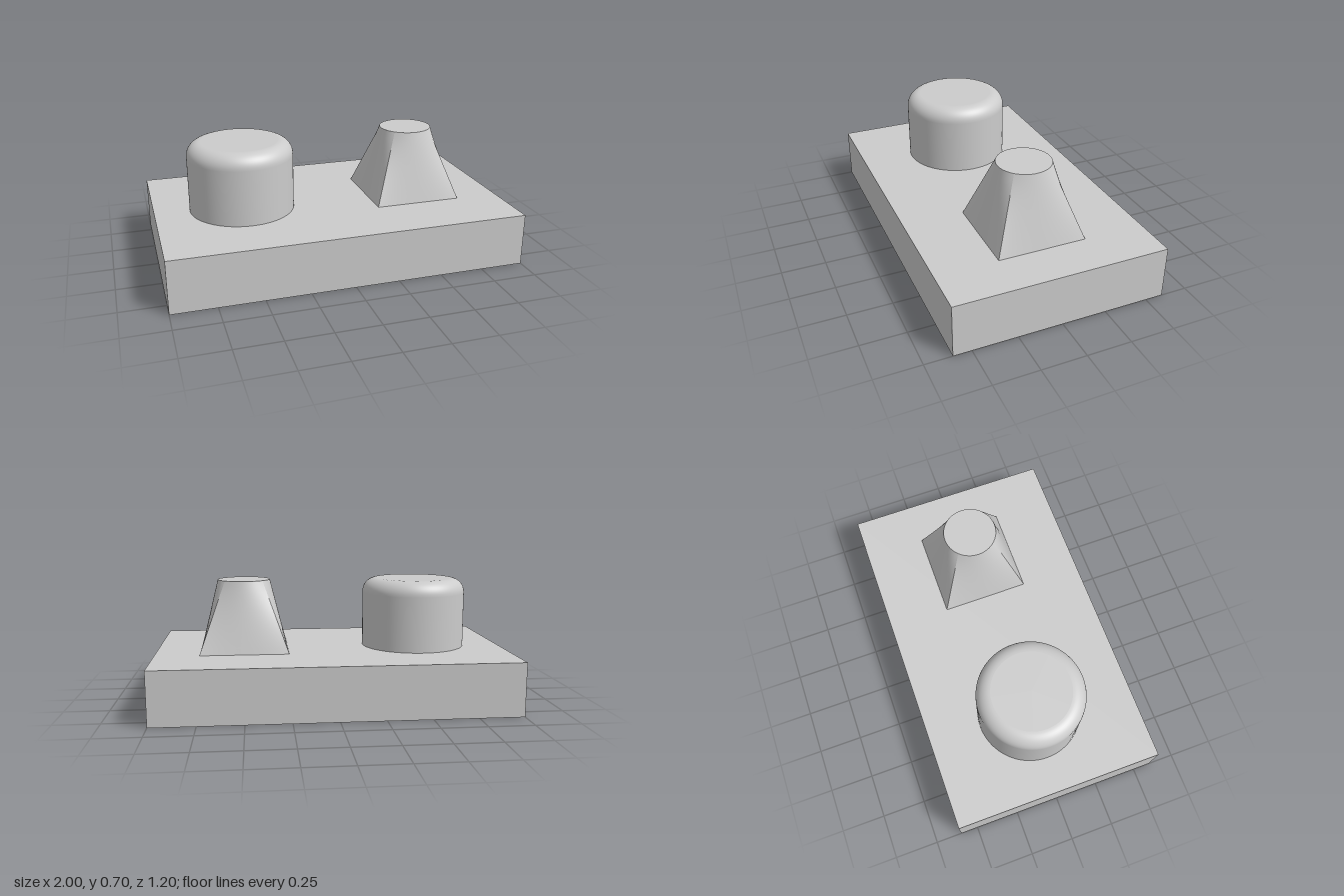
import * as THREE from 'three';

const BASE_TOP = 0.3, TOP = 0.7;
const material = new THREE.MeshStandardMaterial({ color: 0xcccccc });

function add(parent, name, geometry) {
  const mesh = new THREE.Mesh(geometry, material);
  mesh.name = name;
  parent.add(mesh);
  return mesh;
}

function disc(radius) {
  return new THREE.CircleGeometry(radius, 96).rotateX(-Math.PI / 2).translate(0, TOP, 0);
}

// One side of the square-to-round loft: a straight base edge blended to a quarter arc
function loftSide(half, radius) {
  const geometry = new THREE.PlaneGeometry(1, 1, 24, 12);
  const p = geometry.attributes.position;
  for (let i = 0; i < p.count; i++) {
    const u = p.getX(i), v = p.getY(i) + 0.5, a = u * Math.PI / 2;
    p.setXYZ(i,
      THREE.MathUtils.lerp(2 * half * u, radius * Math.sin(a), v),
      THREE.MathUtils.lerp(BASE_TOP, TOP, v),
      THREE.MathUtils.lerp(half, radius * Math.cos(a), v));
  }
  geometry.computeVertexNormals();
  return geometry;
}

export function createModel() {
  const model = new THREE.Group();
  model.name = 'model';

  // Rectangular base slab
  add(model, 'baseSlab', new THREE.BoxGeometry(2, BASE_TOP, 1.2).translate(0, BASE_TOP / 2, 0));

  // Round boss with a filleted top rim
  const boss = new THREE.Group();
  boss.name = 'roundBoss';
  boss.position.x = -0.5;
  const radius = 0.3, fillet = 0.08;
  const profile = [
    new THREE.Vector2(radius, BASE_TOP),
    new THREE.Vector2(radius, TOP - fillet - 0.005),
  ];
  for (let i = 0; i <= 12; i++) {
    const a = (i / 12) * Math.PI / 2;
    profile.push(new THREE.Vector2(
      radius - fillet + fillet * Math.cos(a), TOP - fillet + fillet * Math.sin(a)));
  }
  add(boss, 'bossWall', new THREE.LatheGeometry(profile, 96));
  add(boss, 'bossTop', disc(radius - fillet));
  model.add(boss);

  // Tapered boss: square foot blending to a round top
  const taper = new THREE.Group();
  taper.name = 'taperedBoss';
  taper.position.x = 0.5;
  const side = loftSide(0.25, 0.15);
  for (let k = 0; k < 4; k++) {
    add(taper, 'taperSide' + (k + 1), side).rotation.y = k * Math.PI / 2;
  }
  add(taper, 'taperTop', disc(0.15));
  model.add(taper);

  return model;
}
